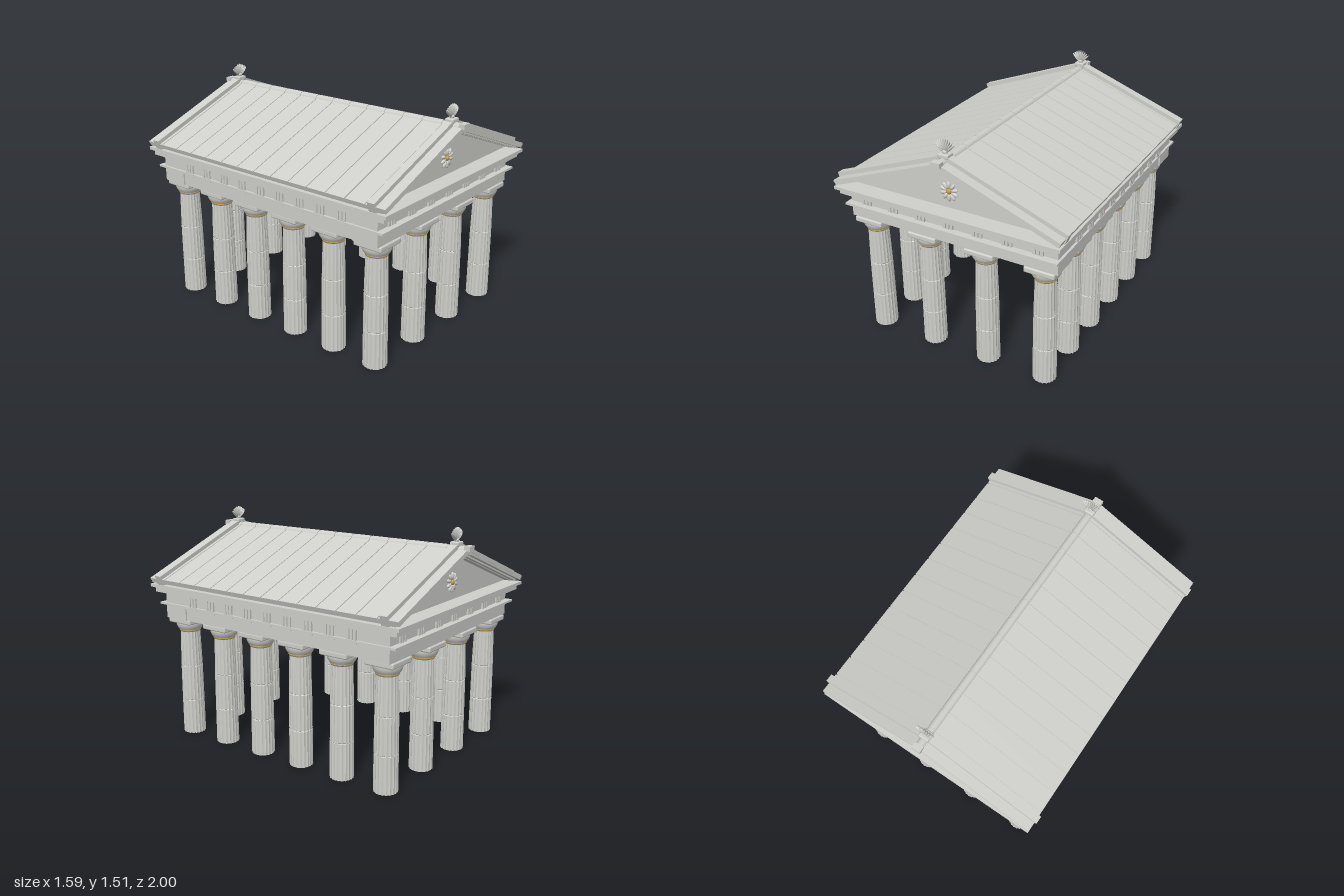
import * as THREE from 'three';
import { toCreasedNormals } from 'three/addons/utils/BufferGeometryUtils.js';
import { RoundedBoxGeometry } from 'three/addons/geometries/RoundedBoxGeometry.js';

const SLOPE = 0.375;
const ANGLE = Math.atan(SLOPE);

export function createModel() {
  const root = new THREE.Group();
  root.name = 'temple';
  const stone = new THREE.MeshStandardMaterial({ color: 0xcfcfcb });
  stone.name = 'pale stone';
  const gold = new THREE.MeshStandardMaterial({ color: 0xc99a3a });
  gold.name = 'gold';

  function add(parent, name, geo, mat = stone, x = 0, y = 0, z = 0) {
    const m = new THREE.Mesh(geo, mat);
    m.name = name;
    m.position.set(x, y, z);
    parent.add(m);
    return m;
  }
  function group(name, parent = root) {
    const g = new THREE.Group();
    g.name = name;
    parent.add(g);
    return g;
  }
  // box from its minimum and maximum corners
  function block(parent, name, x0, x1, y0, y1, z0, z1) {
    return add(parent, name, new THREE.BoxGeometry(x1 - x0, y1 - y0, z1 - z0), stone,
      (x0 + x1) / 2, (y0 + y1) / 2, (z0 + z1) / 2);
  }
  // four beams round an open middle
  function ring(name, hx, hz, y0, y1, sideX = hx) {
    const g = group(name);
    for (const s of [-1, 1]) {
      block(g, name + 'End', -hx, hx, y0, y1, s > 0 ? 0.715 : -hz, s > 0 ? hz : -0.715);
      block(g, name + 'Side', s > 0 ? 0.52 : -sideX, s > 0 ? sideX : -0.52, y0, y1, -0.715, 0.715);
    }
  }
  function extrude(points, z0, z1) {
    const shape = new THREE.Shape(points.map(p => new THREE.Vector2(p[0], p[1])));
    const geo = new THREE.ExtrudeGeometry(shape, { depth: z1 - z0, bevelEnabled: false });
    return geo.translate(0, 0, z0);
  }
  // bent slab following both roof slopes
  function chevron(parent, name, hw, top, t, z0, z1) {
    const yEnd = top - hw * SLOPE;
    const lx = hw - t * Math.sin(ANGLE), ly = yEnd - t * Math.cos(ANGLE);
    return add(parent, name, extrude([[0, top], [-hw, yEnd], [-lx, ly],
      [0, top - t / Math.cos(ANGLE)], [lx, ly], [hw, yEnd]], z0, z1));
  }

  // fluted shaft with two drum joints
  const rows = [[0, 0.076], [0.241, 0.0748], [0.244, 0.072], [0.247, 0.0748], [0.482, 0.073],
    [0.485, 0.070], [0.488, 0.073], [0.62, 0.0695], [0.74, 0.066]];
  let shaft = new THREE.CylinderGeometry(1, 1, 1, 80, rows.length - 1);
  const p = shaft.attributes.position;
  for (let i = 0; i < p.count; i++) {
    const row = rows[Math.round((p.getY(i) + 0.5) * (rows.length - 1))];
    const a = Math.atan2(p.getZ(i), p.getX(i));
    const centre = Math.hypot(p.getX(i), p.getZ(i)) < 0.5;
    const r = centre ? 0 : row[1] * (1 - 0.065 * Math.abs(Math.sin(a * 10)));
    p.setXYZ(i, Math.cos(a) * r, row[0], Math.sin(a) * r);
  }
  shaft = toCreasedNormals(shaft, 0.6);
  const echinus = new THREE.LatheGeometry([[0.06, 0.728], [0.069, 0.73], [0.071, 0.742],
    [0.082, 0.754], [0.09, 0.772], [0.093, 0.79], [0.09, 0.802]]
    .map(q => new THREE.Vector2(q[0], q[1])), 32);
  const abacus = new RoundedBoxGeometry(0.2, 0.038, 0.2, 2, 0.01);
  const neck = new THREE.TorusGeometry(0.0695, 0.0035, 6, 32).rotateX(Math.PI / 2);
  const columns = group('columns');
  for (let i = 0; i < 4; i++) {
    for (let j = 0; j < 6; j++) {
      if (i % 3 && j % 5) continue;
      const c = group('column', columns);
      c.position.set(-0.605 + i * 0.4033, 0, -0.805 + j * 0.322);
      add(c, 'shaft', shaft);
      add(c, 'neckRing', neck, gold, 0, 0.739);
      add(c, 'echinus', echinus);
      add(c, 'abacus', abacus, stone, 0, 0.811);
    }
  }

  // beams over the columns
  ring('architrave', 0.725, 0.895, 0.83, 0.92, 0.715);
  ring('taenia', 0.74, 0.94, 0.92, 0.934);
  ring('frieze', 0.725, 0.895, 0.934, 1.006);

  // triglyphs: three upright bars each
  const bar = new THREE.BoxGeometry(0.018, 0.072, 0.02);
  const regula = new THREE.BoxGeometry(0.07, 0.01, 0.012);
  const triglyphs = group('triglyphs');
  function triglyph(x, z, turn) {
    const g = group('triglyph', triglyphs);
    g.position.set(x, 0, z);
    g.rotation.y = turn;
    for (const k of [-1, 0, 1]) add(g, 'triglyphBar', bar, stone, k * 0.025, 0.97, 0);
    add(g, 'regula', regula, stone, 0, 0.915, 0);
  }
  for (const s of [-1, 1]) {
    for (let i = -3; i <= 3; i++) triglyph(i * 0.2, s * 0.897, s > 0 ? 0 : Math.PI);
    for (let i = -4; i <= 4; i++) triglyph(s * 0.727, i * 0.16, s * Math.PI / 2);
  }

  // cornice, whose underside is the ceiling
  block(root, 'lowerCornice', -0.757, 0.757, 1.005, 1.04, -0.96, 0.96);
  block(root, 'upperCornice', -0.777, 0.777, 1.04, 1.06, -0.985, 0.985);

  // gable body with the tympanum at both ends
  add(root, 'tympanum', extrude([[-0.74, 1.055], [0.74, 1.055], [0.74, 1.085],
    [0, 1.3625], [-0.74, 1.085]], -0.87, 0.87));

  // roof slab with fourteen tile courses and ridge caps
  const roof = group('roof');
  chevron(roof, 'roofSlab', 0.775, 1.384, 0.026, -0.98, 0.98);
  const cap = new THREE.CylinderGeometry(0.03, 0.03, 0.128, 12).rotateX(Math.PI / 2);
  const joint = new THREE.CylinderGeometry(0.026, 0.026, 1.97, 12).rotateX(Math.PI / 2);
  const step = 1.97 / 14;
  for (let i = 0; i < 14; i++) {
    const z = -0.985 + (i + 0.5) * step;
    chevron(roof, 'tileCourse', 0.78, 1.392, 0.018, z - step / 2 + 0.003, z + step / 2 - 0.003);
    add(roof, 'ridgeCap', cap, stone, 0, 1.373, z);
  }
  add(roof, 'ridgeCore', joint, stone, 0, 1.373);

  // fan finial leaf and rosette petal
  const leaf = new THREE.SphereGeometry(1, 10, 8);
  for (const s of [-1, 1]) {
    // raking cornice
    const z0 = s > 0 ? 0.868 : -0.918;
    chevron(root, 'rakingCornice', 0.795, 1.42, 0.075, z0, z0 + 0.05);
    const z1 = s > 0 ? 0.86 : -0.95;
    chevron(root, 'rakingMoulding', 0.765, 1.372, 0.026, z1, z1 + 0.09);
    block(root, 'ridgeEnd', -0.03, 0.03, 1.375, 1.405, s > 0 ? 0.96 : -1, s > 0 ? 1 : -0.96);

    const finial = group('finial');
    finial.position.set(0, 1.415, s * 0.893);
    add(finial, 'finialBase', new RoundedBoxGeometry(0.07, 0.03, 0.06, 2, 0.008), stone, 0, -0.005);
    add(finial, 'finialBud', leaf, stone, 0, 0.018).scale.set(0.018, 0.014, 0.016);
    for (let k = -4; k <= 4; k++) {
      const a = k * 0.19;
      const len = 0.04 - Math.abs(k) * 0.0012;
      const m = add(finial, 'finialLeaf', leaf, stone, Math.sin(a) * 0.054, 0.003 + Math.cos(a) * 0.054);
      m.scale.set(0.0065, len, 0.014);
      m.rotation.z = -a;
    }

    const rosette = group('rosette');
    rosette.position.set(0, 1.17, s * 0.873);
    for (let k = 0; k < 10; k++) {
      const a = k * Math.PI / 5;
      const m = add(rosette, 'petal', leaf, stone, Math.sin(a) * 0.041, Math.cos(a) * 0.041);
      m.scale.set(0.0125, 0.024, 0.012);
      m.rotation.z = -a;
    }
    add(rosette, 'rosetteCentre', leaf, gold).scale.set(0.018, 0.018, 0.016);
  }
  return root;
}
